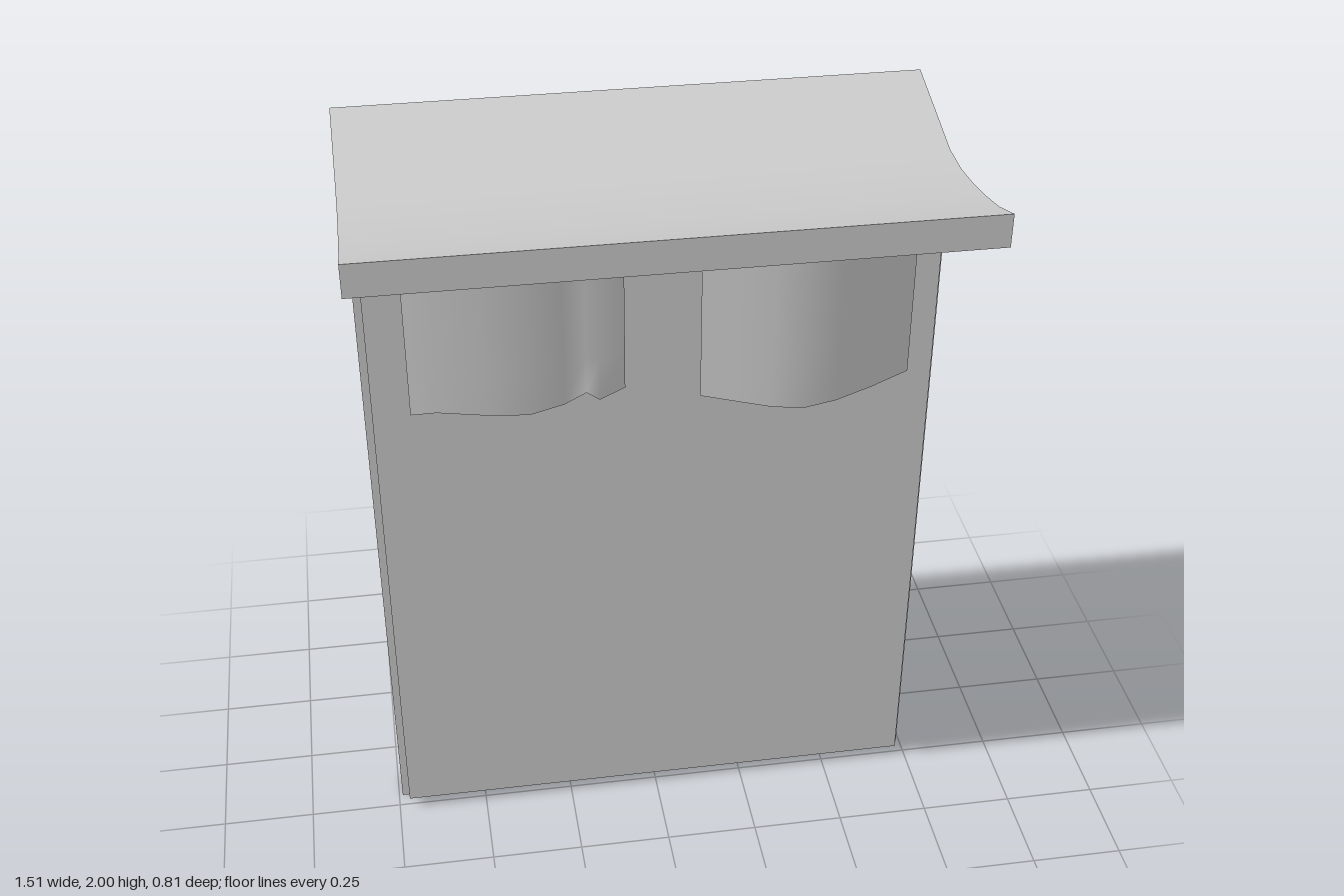
import * as THREE from 'three';
import { toCreasedNormals } from 'three/addons/utils/BufferGeometryUtils.js';

const grey = new THREE.MeshStandardMaterial({ color: 0xcccccc });
const greyThin = new THREE.MeshStandardMaterial({ color: 0xcccccc, side: THREE.DoubleSide });

export function createModel() {
  const group = new THREE.Group();

  const add = (name, geometry, material = grey) => {
    const mesh = new THREE.Mesh(geometry, material);
    mesh.name = name;
    group.add(mesh);
    return mesh;
  };

  // Box given by its limits on each axis
  const box = (name, [x0, x1], [y0, y1], [z0, z1]) =>
    add(name, new THREE.BoxGeometry(x1 - x0, y1 - y0, z1 - z0))
      .position.set((x0 + x1) / 2, (y0 + y1) / 2, (z0 + z1) / 2);

  // Side profile of [z, y] points, extruded along x around a centre
  const slab = (name, profile, width, x) => {
    const shape = new THREE.Shape(profile.map(([z, y]) => new THREE.Vector2(-z, y)));
    const geometry = new THREE.ExtrudeGeometry(shape, { depth: width, bevelEnabled: false });
    geometry.rotateY(Math.PI / 2).translate(x - width / 2, 0, 0);
    add(name, toCreasedNormals(geometry, 0.6));
  };

  // Upright board with a raised front panel and a bottom lip
  box('backBoard', [-0.73, 0.73], [0.01, 1.84], [-0.11, -0.045]);
  box('frontPanel', [-0.72, 0.72], [0.035, 1.83], [-0.05, 0.015]);
  box('bottomLip', [-0.74, 0.74], [0, 0.03], [-0.13, -0.04]);

  // Curved canopy
  slab('canopy', [
    [0.405, 2], [0.3, 1.965], [0.2, 1.943], [0.1, 1.926], [0, 1.916], [-0.1, 1.92], [-0.25, 1.96], [-0.405, 2],
    [-0.405, 1.91], [-0.26, 1.873], [-0.12, 1.838], [0, 1.83], [0.1, 1.835], [0.2, 1.845], [0.3, 1.88], [0.405, 1.915],
  ], 1.51, 0);

  // Flared side walls and shelf brackets
  for (const side of [-1, 1]) {
    slab('sideWall', [
      [-0.04, 0.01], [-0.125, 0.02], [-0.165, 0.42], [-0.205, 0.82],
      [-0.32, 1.52], [-0.4, 1.91], [-0.12, 1.84], [-0.04, 1.835],
    ], 0.02, side * 0.73);
    slab('shelfBracket', [
      [-0.11, 0.445], [-0.29, 0.445], [-0.315, 0.395], [-0.36, 0.35], [-0.4, 0.34],
      [-0.4, 0.155], [-0.3, 0.185], [-0.21, 0.24], [-0.165, 0.3], [-0.11, 0.38],
    ], 0.015, side * 0.45);
  }

  // Bowed shelf
  const outline = new THREE.Shape();
  outline.moveTo(-0.72, 0.1);
  for (let i = 0; i <= 16; i++) {
    const t = i / 8 - 1;
    outline.lineTo(t * 0.72, 0.115 + 0.275 * (1 - t * t));
  }
  outline.lineTo(0.72, 0.1);
  const shelf = new THREE.ExtrudeGeometry(outline, { depth: 0.015, bevelEnabled: false });
  shelf.rotateX(-Math.PI / 2).translate(0, 0.445, 0);
  add('shelf', toCreasedNormals(shelf, 0.6));

  // Hanging sheets: columns of [x, z, lower edge y]
  const sheet = (name, columns) => {
    const geometry = new THREE.PlaneGeometry(1, 1, columns.length - 1, 4);
    const p = geometry.attributes.position;
    for (let i = 0; i < p.count; i++) {
      const [x, z, low] = columns[i % columns.length];
      p.setXYZ(i, x, low + (p.getY(i) + 0.5) * (1.825 - low), z);
    }
    geometry.computeVertexNormals();
    add(name, geometry, greyThin);
  };
  sheet('rightSheet', [
    [-0.625, 0.05, 1.37], [-0.56, 0.065, 1.38], [-0.44, 0.08, 1.37], [-0.33, 0.08, 1.36],
    [-0.24, 0.06, 1.37], [-0.18, 0.03, 1.38], [-0.15, 0.06, 1.375], [-0.08, 0.02, 1.38],
  ]);
  sheet('leftSheet', [
    [0.105, 0.065, 1.365], [0.2, 0.09, 1.353], [0.28, 0.11, 1.343], [0.36, 0.12, 1.337],
    [0.45, 0.105, 1.343], [0.55, 0.07, 1.352], [0.655, 0.025, 1.362],
  ]);

  return group;
}
